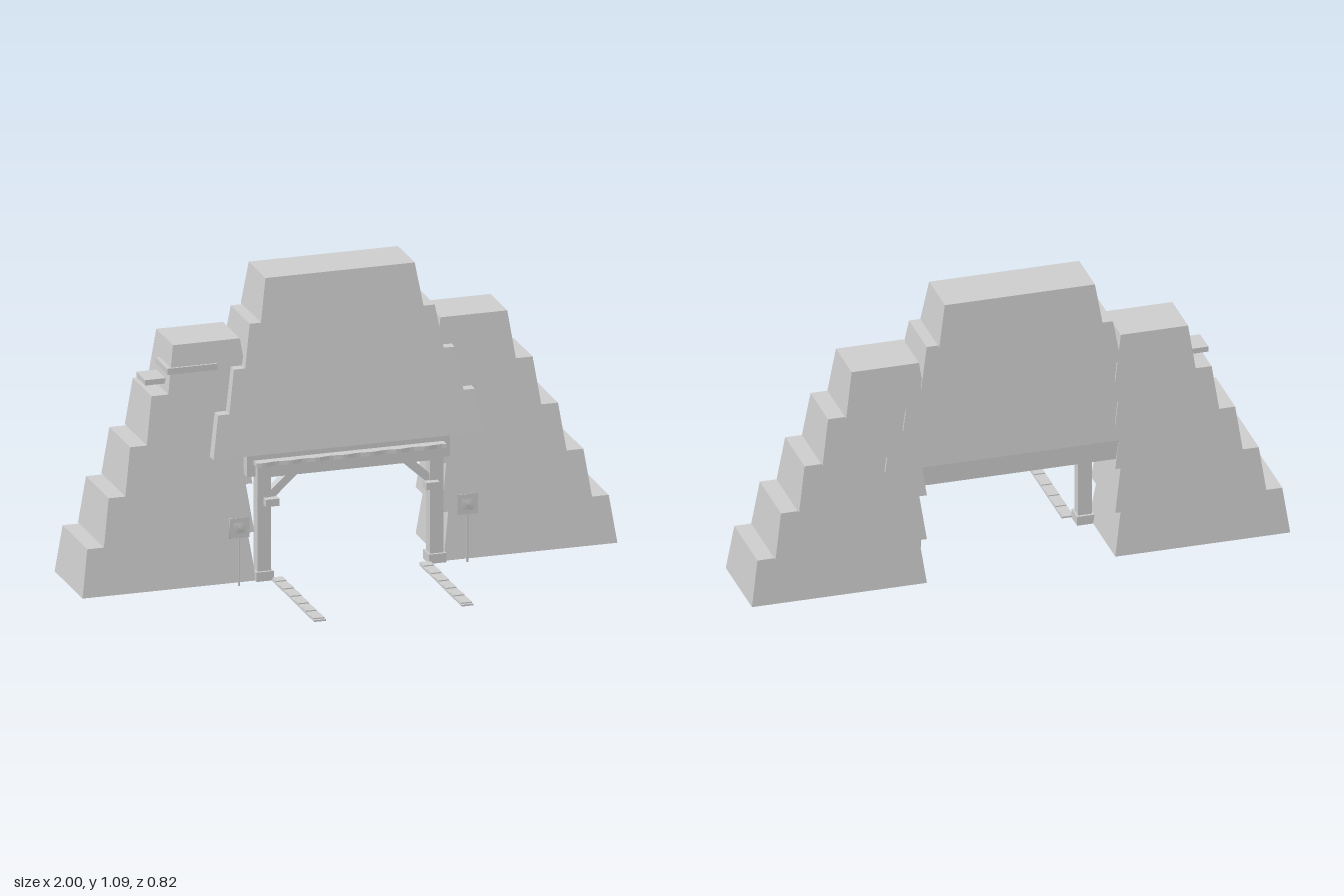
import * as THREE from 'three';

const stone = new THREE.MeshStandardMaterial({ color: 0xcccccc });
stone.name = 'plain grey';

function add(parent, name, geometry) {
  const mesh = new THREE.Mesh(geometry, stone);
  mesh.name = name;
  parent.add(mesh);
  return mesh;
}

// Box between two corners
function block(parent, name, x0, x1, y0, y1, z0, z1) {
  const g = new THREE.BoxGeometry(x1 - x0, y1 - y0, z1 - z0);
  g.translate((x0 + x1) / 2, (y0 + y1) / 2, (z0 + z1) / 2);
  return add(parent, name, g);
}

// Tapered tier; bottom and top are [x0, x1, zBack, zFront]
function tier(parent, name, y0, y1, bottom, top) {
  const g = new THREE.BoxGeometry(1, 1, 1);
  const p = g.attributes.position;
  for (let i = 0; i < p.count; i++) {
    const r = p.getY(i) > 0 ? top : bottom;
    p.setXYZ(i, p.getX(i) > 0 ? r[1] : r[0], p.getY(i) > 0 ? y1 : y0, p.getZ(i) > 0 ? r[3] : r[2]);
  }
  g.computeVertexNormals();
  return add(parent, name, g);
}

export function createModel() {
  const model = new THREE.Group();
  model.name = 'steppedGate';

  // Stepped side towers with a continuous sloping front
  for (const s of [-1, 1]) {
    const tower = new THREE.Group();
    tower.name = s > 0 ? 'leftTower' : 'rightTower';
    const front = (y) => -0.09 - 0.129 * y;
    const span = (inner, outer) => (s > 0 ? [inner, outer] : [-outer, -inner]);
    for (let i = 0; i < 5; i++) {
      const y0 = i * 0.175, y1 = y0 + 0.175;
      const outer = 1 - i * 0.0875;
      tier(tower, 'towerTier', y0, y1,
        [...span(0.35, outer), -0.41, front(y0)],
        [...span(0.375, outer - 0.025), -0.395, front(y1)]);
    }
    model.add(tower);
  }

  // Stepped centre bridging the opening
  const centre = new THREE.Group();
  centre.name = 'centre';
  block(centre, 'lintelBlock', -0.38, 0.38, 0.385, 0.465, -0.4, -0.106);
  for (let i = 0; i < 4; i++) {
    const y0 = 0.463 + i * 0.157;
    const half = 0.505 - i * 0.067;
    const zf = -0.105 - i * 0.0245;
    tier(centre, 'centreTier', y0, y0 + 0.157,
      [-half, half, -0.41, zf], [-half + 0.025, half - 0.025, -0.395, zf - 0.0245]);
  }
  model.add(centre);

  // Gate frame, rails and signs, mirrored
  for (const s of [-1, 1]) {
    const side = new THREE.Group();
    side.name = s > 0 ? 'leftGateSide' : 'rightGateSide';
    const b = (name, x0, x1, ...rest) =>
      block(side, name, Math.min(s * x0, s * x1), Math.max(s * x0, s * x1), ...rest);
    b('postBase', 0.29, 0.355, 0, 0.035, -0.14, -0.073);
    b('post', 0.297, 0.348, 0.03, 0.42, -0.13, -0.083);
    b('bracket', 0.275, 0.325, 0.283, 0.31, -0.1, -0.057);

    // Diagonal brace
    const brace = new THREE.Shape([[0.305, 0.287], [0.195, 0.387], [0.24, 0.387], [0.305, 0.327]]
      .map(([x, y]) => new THREE.Vector2(s * x, y)));
    const bg = new THREE.ExtrudeGeometry(brace, { depth: 0.035, bevelEnabled: false });
    bg.translate(0, 0, -0.122);
    add(side, 'brace', bg);

    // Ground rail with raised strips
    b('rail', 0.254, 0.298, 0, 0.006, -0.07, 0.412);
    for (let i = 0; i < 6; i++) {
      const z = 0.4 - i * 0.0868;
      b('railStrip', 0.256, 0.296, 0.005, 0.01, z - 0.043, z);
    }

    // Sign on a thin pole
    b('signPole', 0.424, 0.43, 0, 0.25, -0.058, -0.052);
    const sign = new THREE.CylinderGeometry(0.0375 * Math.SQRT2, 0.0375 * Math.SQRT2, 0.003, 4);
    sign.rotateY(Math.PI / 4).rotateX(Math.PI / 2).translate(s * 0.427, 0.218, -0.0505);
    add(side, 'signBoard', sign);
    const boss = new THREE.ConeGeometry(0.03, 0.004, 4, 1, true);
    boss.rotateY(Math.PI / 4).rotateX(Math.PI / 2).translate(s * 0.427, 0.218, -0.047);
    add(side, 'signFace', boss);
    model.add(side);
  }
  block(model, 'crossBeam', -0.348, 0.348, 0.385, 0.432, -0.13, -0.083);

  // Canopy plank with a wavy front edge
  const edge = [new THREE.Vector2(-0.355, 0.115), new THREE.Vector2(0.355, 0.115)];
  for (let i = 0; i <= 42; i++) {
    const x = 0.355 - (i / 42) * 0.71;
    edge.push(new THREE.Vector2(x, 0.071 + 0.003 * Math.sin(x * 62)));
  }
  const canopy = new THREE.ExtrudeGeometry(new THREE.Shape(edge), { depth: 0.015, bevelEnabled: false });
  canopy.rotateX(-Math.PI / 2).translate(0, 0.43, 0);
  add(model, 'canopy', canopy);

  // Ledges on the right tower
  block(model, 'lowerLedge', -0.72, -0.63, 0.725, 0.745, -0.33, -0.23);
  block(model, 'upperLedge', -0.652, -0.465, 0.772, 0.795, -0.32, -0.185);

  return model;
}
